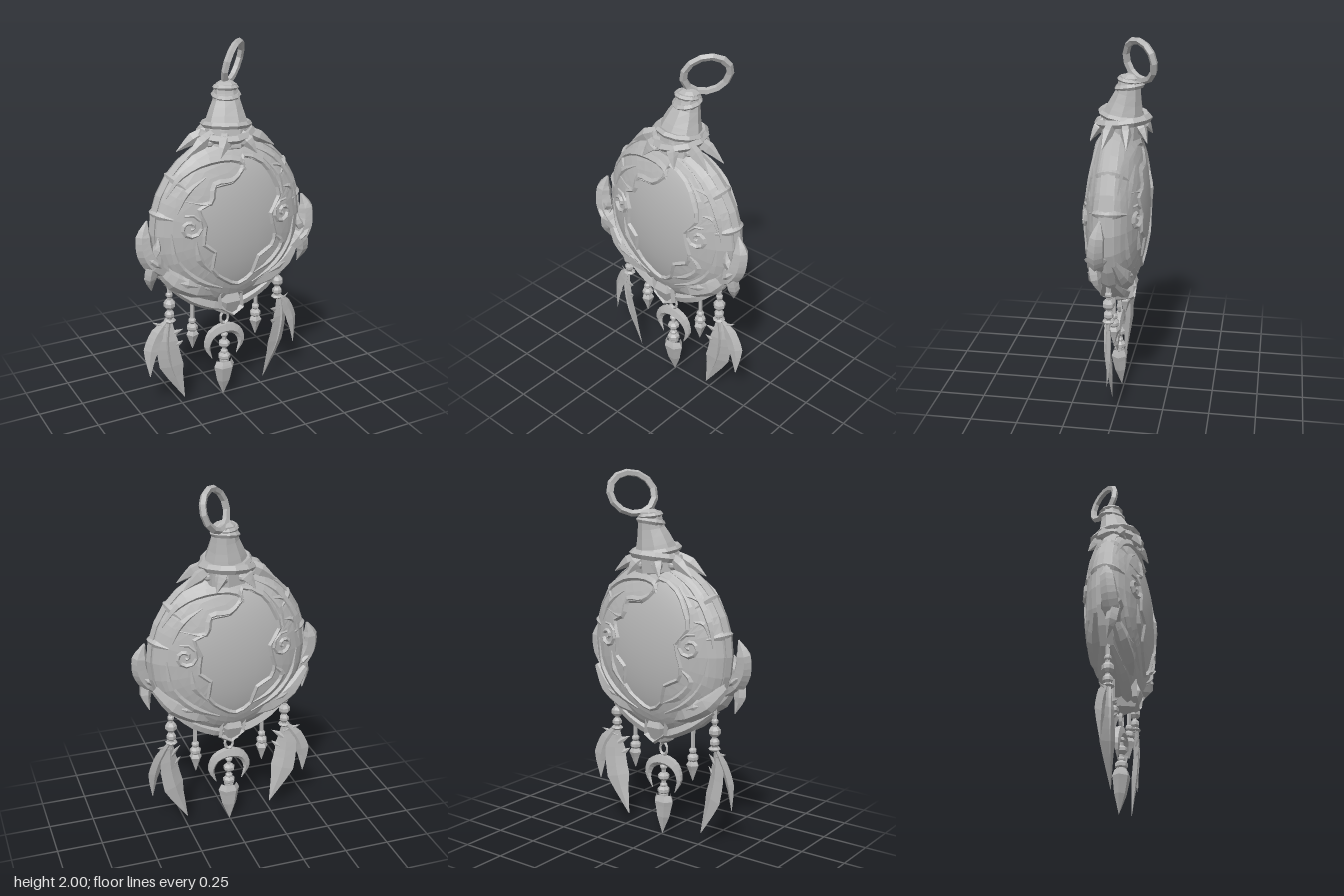
import * as THREE from 'three';

const V = (x, y, z = 0) => new THREE.Vector3(x, y, z);
const Z = V(0, 0, 1);

export function createModel() {
  const root = new THREE.Group();
  const stone = new THREE.MeshStandardMaterial({ color: 0xb8b8b8 });
  stone.name = 'stoneGrey';

  // Adds a faceted mesh
  function add(name, geo, pos = [0, 0, 0], scale = [1, 1, 1], parent = root) {
    const flat = geo.index ? geo.toNonIndexed() : geo;
    flat.computeVertexNormals();
    const m = new THREE.Mesh(flat, stone);
    m.name = name;
    m.position.set(...pos);
    m.scale.set(...scale);
    parent.add(m);
    return m;
  }

  // Builds an indexed geometry
  function indexed(pos, idx) {
    const g = new THREE.BufferGeometry();
    g.setAttribute('position', new THREE.Float32BufferAttribute(pos, 3));
    g.setIndex(idx);
    return g;
  }

  // Tapered sweep: widths follow the control points, depth is the flattening along ref
  function sweep(pts, widths, { depth = 1, sides = 6, steps = 3, ref = Z, closed = false } = {}) {
    const curve = new THREE.CatmullRomCurve3(pts, closed, 'centripetal');
    const n = (closed ? pts.length : pts.length - 1) * steps, pos = [], idx = [];
    for (let j = 0; j <= n; j++) {
      const t = j / n, p = curve.getPoint(t), T = curve.getTangent(t);
      const f = Math.min(t * (widths.length - 1), widths.length - 1.0001), i = Math.floor(f);
      const w = widths.length === 1 ? widths[0] : THREE.MathUtils.lerp(widths[i], widths[i + 1], f - i);
      const S = T.clone().cross(ref).normalize(), U = T.clone().cross(S);
      for (let k = 0; k < sides; k++) {
        const a = (k / sides) * Math.PI * 2;
        const q = p.clone().addScaledVector(S, Math.cos(a) * w).addScaledVector(U, Math.sin(a) * w * depth);
        pos.push(q.x, q.y, q.z);
        if (j < n) {
          const A = j * sides + k, B = j * sides + (k + 1) % sides;
          idx.push(A, B, B + sides, A, B + sides, A + sides);
        }
      }
    }
    return indexed(pos, idx);
  }
  const ball = () => new THREE.SphereGeometry(1, 7, 5);

  // Smooth inner orb
  const CX = 0.01, CY = 1.06, CZ = 0.025, A = 0.435, B = 0.47, D = 0.165;
  const orb = new THREE.Mesh(new THREE.SphereGeometry(1, 24, 16), stone);
  orb.name = 'orb';
  orb.position.set(CX, CY, CZ);
  orb.scale.set(A * 0.97, B * 0.97, D * 0.98);
  root.add(orb);

  // Carved shell half with an irregular opening, measured from the orb centre
  const dome = (x, y, lift = 0) =>
    V(x, y, D * Math.sqrt(Math.max(0, 1 - (x / A) ** 2 - (y / B) ** 2)) + lift);
  const opening = [[.19, .06], [.25, .14], [.22, .24], [.16, .33], [.05, .38], [.03, .32], [-.04, .26],
    [-.13, .25], [-.16, .17], [-.22, .14], [-.19, .05], [-.2, -.05], [-.14, -.1], [-.15, -.2],
    [-.07, -.28], [.01, -.32], [.09, -.27], [.12, -.17], [.2, -.13], [.22, -.06]];
  function shellGeometry() {
    const cols = opening.length * 2, rows = 6, pos = [], idx = [];
    for (let j = 0; j < cols; j++) {
      const p = opening[j >> 1], q = opening[((j >> 1) + 1) % opening.length], h = (j % 2) / 2;
      const x = p[0] + (q[0] - p[0]) * h, y = p[1] + (q[1] - p[1]) * h;
      const k = 1 / Math.hypot(x / A, y / B);
      for (let i = 0; i <= rows; i++) {
        const s = 1 + (k - 1) * (1 - (1 - i / rows) ** 1.6), v = dome(x * s, y * s);
        pos.push(v.x, v.y, v.z);
        if (i < rows) {
          const a = j * (rows + 1) + i, d = ((j + 1) % cols) * (rows + 1) + i;
          idx.push(a, a + 1, d + 1, a, d + 1, d);
        }
      }
    }
    return indexed(pos, idx);
  }

  // Ridges carved on the shell: points, then widths
  const ridges = [
    [[[-.37, .2], [-.28, .31], [-.14, .37], [.02, .36], [.05, .31]], [.006, .022, .026, .022, .006]],
    [[[.05, .33], [-.03, .27], [-.13, .26], [-.16, .17], [-.3, .19]], [.008, .018, .02, .016, .004]],
    [[[-.33, .12], [-.27, .23], [-.17, .3]], [.004, .02, .004]],
    [[[.17, .35], [.25, .25], [.27, .15]], [.004, .018, .012]],
    [[[.1, .42], [.24, .34], [.35, .18], [.38, .05]], [.005, .018, .022, .005]],
    [[[.2, .31], [.28, .29], [.33, .25]], [.004, .016, .003]],
    [[[.28, .18], [.33, .17], [.36, .1]], [.004, .016, .003]],
    [[[-.36, .02], [-.33, -.14], [-.22, -.26], [-.08, -.33]], [.005, .022, .025, .006]],
    [[[-.24, -.03], [-.22, -.13], [-.15, -.22]], [.004, .022, .004]],
    [[[.36, .0], [.33, -.14], [.24, -.25], [.1, -.33]], [.005, .022, .025, .006]],
    [[[.22, -.07], [.27, -.13], [.2, -.22], [.1, -.27]], [.004, .02, .022, .004]],
  ];
  const zero = [0, 0, 0], one = [1, 1, 1];
  for (const back of [false, true]) {
    const half = new THREE.Group();
    half.name = back ? 'backShell' : 'frontShell';
    half.position.set(CX, CY, CZ);
    if (back) half.rotation.y = Math.PI;
    root.add(half);
    add('shellPlate', shellGeometry(), zero, one, half);
    add('openingTrim', sweep(opening.map(([x, y]) => dome(x, y, -0.004)), [0.013],
      { closed: true, sides: 4, steps: 2 }), zero, one, half);
    for (const [pts, widths] of ridges)
      add('carvedRidge', sweep(pts.map(([x, y]) => dome(x, y)), widths, { sides: 4, depth: 0.7 }), zero, one, half);
    // Spiral curls
    for (const s of [-1, 1]) {
      const pts = [];
      for (let i = 0; i <= 14; i++) {
        const a = i * 0.68 + 1.2, r = 0.07 - i * 0.0044;
        pts.push(dome(s * (0.27 + Math.cos(a) * r), 0.05 + Math.sin(a) * r, 0.003));
      }
      add('spiralCurl', sweep(pts, [.006, .013, .012, .009], { sides: 4, steps: 1 }), zero, one, half);
    }
  }

  // Rim and the short straps across it
  add('rim', new THREE.TorusGeometry(1, 0.045, 5, 28), [CX, CY, CZ], [A * 0.98, B * 0.98, 0.8]);
  for (const deg of [14, 40, 140, 166]) {
    const a = deg * Math.PI / 180, c = Math.cos(a), s = Math.sin(a);
    const pts = [-0.6, -0.3, 0, 0.3, 0.6].map((b) =>
      V(CX + A * c * Math.cos(b), CY + B * s * Math.cos(b), CZ + D * Math.sin(b)));
    add('rimStrap', sweep(pts, [.003, .012, .016, .012, .003], { sides: 4, depth: 1.6, ref: V(-s, c, 0) }));
  }

  // Slanted neck cap with collars
  add('cap', sweep([V(.02, 1.48, .01), V(.025, 1.56, 0), V(.03, 1.62, -.012), V(.04, 1.7, -.03), V(.04, 1.78, -.04)],
    [.13, .125, .105, .075, .06], { sides: 9, depth: 0.9, steps: 2 }));
  add('capBase', ball(), [.02, 1.5, .01], [.13, .06, .115]);
  add('capTop', ball(), [.045, 1.77, -.045], [.06, .03, .06]);
  for (const [x, y, z, r, t, tilt] of [[.02, 1.55, 0, .13, .024, .12], [.025, 1.585, -.005, .118, .018, -.12],
    [.04, 1.73, -.035, .063, .016, .15], [.04, 1.765, -.04, .055, .014, -.1]])
    add('collar', new THREE.TorusGeometry(r, t, 5, 12), [x, y, z]).rotation.set(Math.PI / 2 + tilt, tilt / 2, 0);
  for (let i = 0; i < 8; i++) {
    const a = (i + 0.5) / 8 * Math.PI * 2, c = Math.cos(a), s = Math.sin(a);
    const at = (rx, y, rz) => V(.015 + c * rx, y, .01 + s * rz);
    add('collarFang', sweep([at(.1, 1.55, .08), at(.18, 1.515, .125), at(.275, 1.455, .16)], [.028, .036, .002],
      { sides: 5, depth: 0.8 }));
    add('collarBead', ball(), at(.125, 1.51, .11).toArray(), [.026, .024, .026]);
  }

  // Oval hanging loop, leaning to the front left
  const loop = add('hangingLoop', new THREE.TorusGeometry(.107, .019, 5, 13), [.112, 1.877, -.097], [1.1, 0.96, 1]);
  loop.rotation.set(0.22, Math.PI / 4, 0.45, 'YXZ');

  // Horns, garland and hangings, mirrored
  for (const s of [-1, 1]) {
    const path = (arr) => arr.map(([x, y, z]) => V(s * x, y, z));
    add('horn', sweep(path([[.455, 1.15, .05], [.48, 1.07, .06], [.472, .98, .07], [.43, .91, .075], [.36, .85, .08]]),
      [.004, .043, .05, .052, .03], { sides: 6, depth: 0.9 }));
    add('hornLeaf', sweep(path([[.41, 1.0, .07], [.44, .92, .085], [.455, .84, .075], [.44, .755, .05]]),
      [.01, .037, .034, .002], { sides: 5, depth: 0.9 }));
    add('hornSpur', sweep(path([[.45, .96, .08], [.42, 1.0, .09], [.41, 1.06, .085]]), [.03, .025, .002], { sides: 5 }));
    add('hornKnot', new THREE.TorusGeometry(.045, .014, 4, 9), [s * .44, .93, .075])
      .rotation.set(Math.PI / 2, s * 0.7, 0);
    for (const back of [false, true]) {
      const zz = (z) => (back ? 0.045 - 0.88 * z : z);
      add('garland', sweep(path([[.43, .91, zz(.07)], [.33, .81, zz(.1)], [.21, .745, zz(.11)], [.09, .69, zz(.095)]]),
        [.02, .052, .055, .02], { sides: 6, depth: 0.7 }));
      add('garlandLeaf', sweep(path([[.4, .83, zz(.095)], [.27, .79, zz(.13)], [.14, .73, zz(.13)]]),
        [.003, .04, .003], { sides: 4, depth: 0.5 }));
      add('lowerBand', sweep(path([[.34, .76, zz(.05)], [.22, .67, zz(.075)], [.1, .61, zz(.075)], [0, .575, zz(.06)]]),
        [.015, .028, .03, .02], { sides: 5 }));
    }

    // Small drop hanging
    const dx = s * .195;
    add('dropCord', new THREE.CylinderGeometry(.012, .012, .14, 5), [dx, .57, .025]);
    add('dropBead', ball(), [dx, .515, .025], [.022, .02, .022]);
    add('dropBead', ball(), [dx, .475, .025], [.032, .026, .032]);
    add('smallDrop', sweep([V(dx, .465, .025), V(dx, .435, .025), V(dx, .345, .025)], [.018, .036, .002], { sides: 5 }));

    // Feather hanging
    const hang = new THREE.Group();
    hang.name = s > 0 ? 'leftFeathers' : 'rightFeathers';
    hang.position.set(s * .33, .55, .03);
    hang.rotation.y = s * 0.4;
    root.add(hang);
    add('featherCord', new THREE.CylinderGeometry(.013, .013, .26, 5), [0, .12, 0], one, hang);
    for (const [y, r] of [[.095, .034], [.15, .02], [.035, .028]])
      add('featherBead', ball(), [0, y, 0], [r, r * 0.95, r], hang);
    add('featherTie', new THREE.TorusGeometry(.024, .01, 4, 8), zero, one, hang).rotation.x = Math.PI / 2;
    add('longFeather', sweep(path([[0, .02, .005], [.015, -.12, .01], [-.005, -.28, -.005], [-.075, -.495, -.035]]),
      [.008, .058, .066, .002], { sides: 4, depth: 0.25 }), zero, one, hang);
    add('longFeatherQuill', sweep(path([[0, .02, .01], [.015, -.12, .022], [-.005, -.28, .008], [-.06, -.45, -.03]]),
      [.01, .008, .006, .002], { sides: 4 }), zero, one, hang);
    add('shortFeather', sweep(path([[0, .01, 0], [.065, -.07, .014], [.105, -.17, .028], [.112, -.32, .038]]),
      [.008, .037, .04, .002], { sides: 4, depth: 0.3 }), zero, one, hang);
    for (const [x, y, l] of [[-.03, -.06, .04], [-.04, -.13, .03], [.04, -.02, .05]])
      add('featherBarb', sweep(path([[0, y - .03, .005], [x, y - .01, .008], [x + Math.sign(x) * l, y + .01, .01]]),
        [.016, .015, .001], { sides: 4, depth: 0.35 }), zero, one, hang);
  }

  // Gem at the bottom, with a faceted frame on both sides
  add('gem', new THREE.SphereGeometry(1, 6, 4), [0, .63, .03], [.085, .115, .12]);
  for (const z of [.1, -.04])
    add('gemFrame', new THREE.TorusGeometry(1, .16, 4, 6), [0, .63, z], [.07, .092, .14]).rotation.z = Math.PI / 6;

  // Central hanging: ring, crescent, beads and drop
  add('linkRing', new THREE.TorusGeometry(.03, .01, 4, 9), [0, .49, .025], [.8, 1.2, 1]);
  const arc = [[-.075, .25], [-.105, .33], [-.075, .4], [0, .425], [.075, .4], [.105, .33], [.075, .25]];
  add('crescent', sweep(arc.map(([x, y]) => V(x, y, .025)), [.002, .02, .03, .034, .03, .02, .002],
    { sides: 5, depth: 0.8 }));
  add('centreCord', new THREE.CylinderGeometry(.012, .012, .22, 5), [0, .32, .025]);
  for (const [y, r] of [[.385, .022], [.33, .034], [.28, .022], [.25, .036], [.225, .03]])
    add('centreBead', ball(), [0, y, .025], [r, r * 0.75, r]);
  add('centreDrop', sweep([V(0, .225, .025), V(0, .19, .025), V(0, .1, .02), V(0, 0, .012)],
    [.045, .062, .042, .001], { sides: 6, depth: 0.75 }));

  return root;
}
